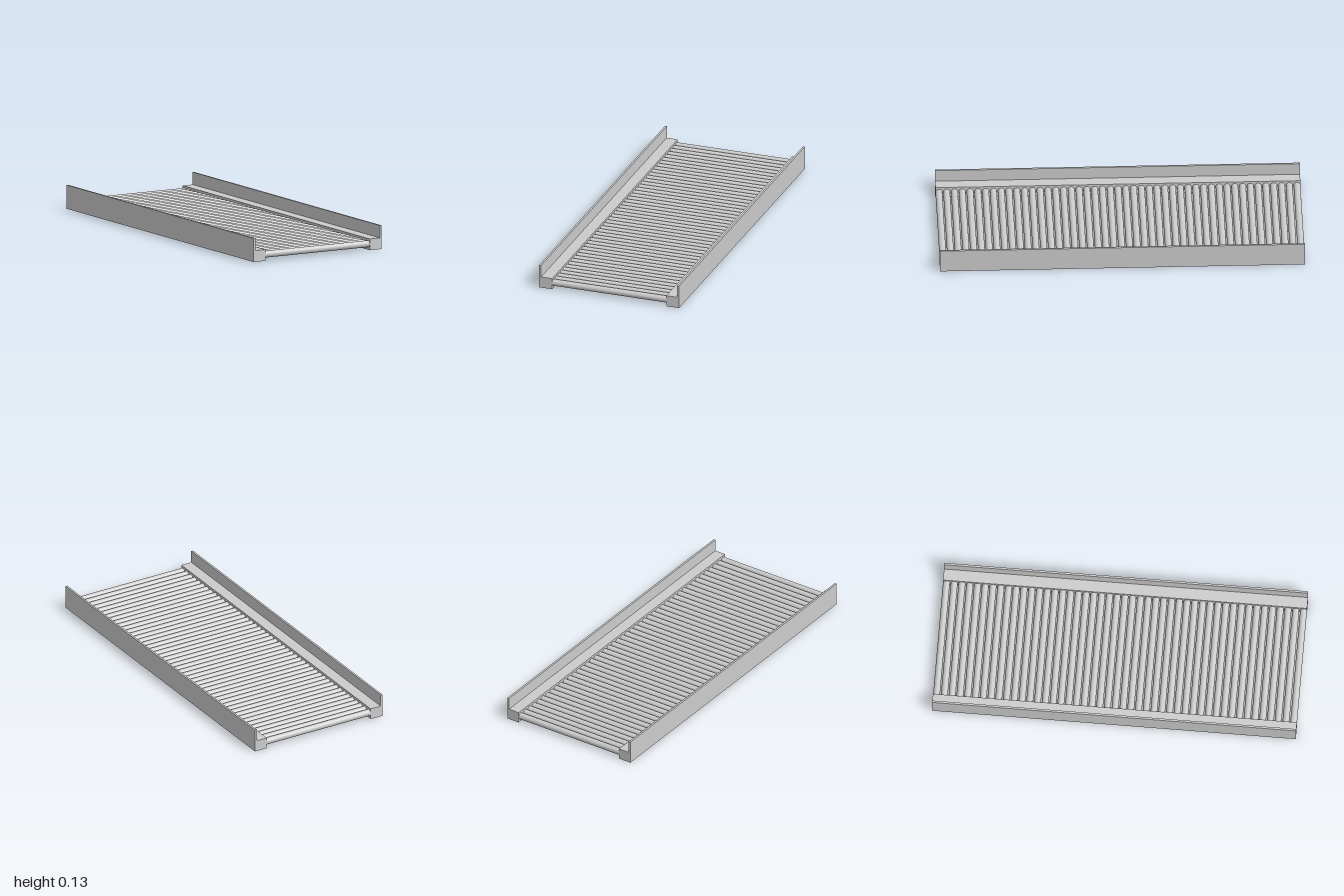
import * as THREE from 'three';

const LENGTH = 2;
const ROLLERS = 47;
const RADIUS = 0.0187;
const ROLLER_Y = 0.0335;
const INNER_X = 0.333;

export function createModel() {
  const group = new THREE.Group();
  group.name = 'rollerConveyor';
  const grey = new THREE.MeshStandardMaterial({ color: 0xcccccc });

  // Side rails: a solid beam with a thin upright guard on its outer edge
  const addRail = (name, side) => {
    const profile = new THREE.Shape([
      [INNER_X, 0], [0.408, 0], [0.408, 0.132], [0.397, 0.132], [0.397, 0.063], [INNER_X, 0.063],
    ].map(([x, y]) => new THREE.Vector2(side * x, y)));
    const geometry = new THREE.ExtrudeGeometry(profile, { depth: LENGTH, bevelEnabled: false });
    geometry.translate(0, 0, -LENGTH / 2);
    const rail = new THREE.Mesh(geometry, grey);
    rail.name = name;
    group.add(rail);
  };
  addRail('leftRail', 1);
  addRail('rightRail', -1);

  // Rollers: evenly spaced from end to end between the rails
  const rollers = new THREE.Group();
  rollers.name = 'rollers';
  const rollerGeometry = new THREE.CylinderGeometry(RADIUS, RADIUS, INNER_X * 2, 32);
  rollerGeometry.rotateZ(Math.PI / 2);
  const pitch = (LENGTH - 2 * RADIUS) / (ROLLERS - 1);
  for (let i = 0; i < ROLLERS; i++) {
    const roller = new THREE.Mesh(rollerGeometry, grey);
    roller.name = `roller${i + 1}`;
    roller.position.set(0, ROLLER_Y, -LENGTH / 2 + RADIUS + i * pitch);
    rollers.add(roller);
  }
  group.add(rollers);

  return group;
}
